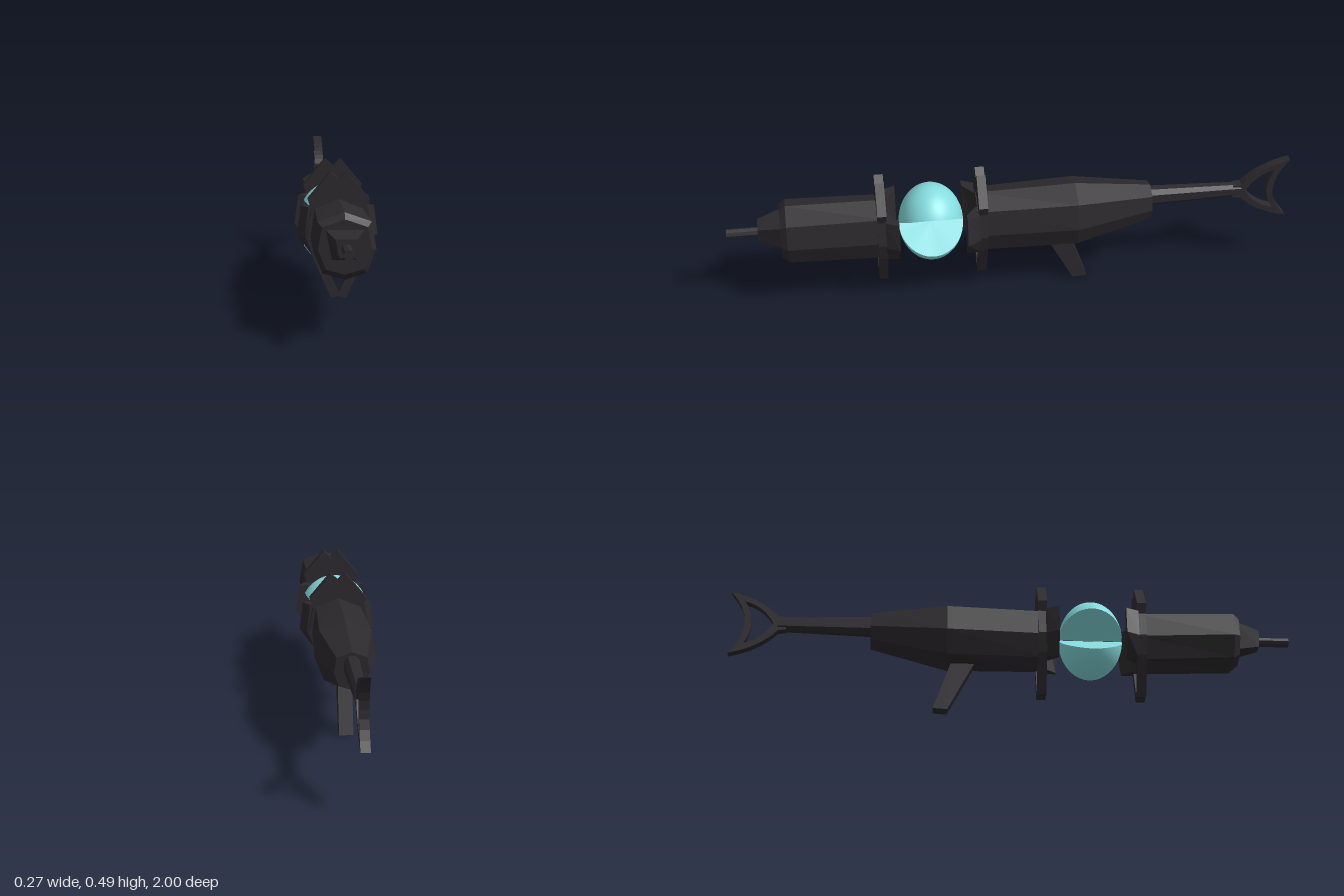
import * as THREE from 'three';

const dark = new THREE.MeshStandardMaterial({ color: 0x2d2a2d, flatShading: true });
const teal = new THREE.MeshStandardMaterial({ color: 0x86dde0 });

function add(parent, name, geometry, material = dark) {
  const mesh = new THREE.Mesh(geometry, material);
  mesh.name = name;
  parent.add(mesh);
  return mesh;
}

// Skin between cross-sections ordered from back to front; each is a counter-clockwise list of [x, y, z]
function loft(sections) {
  const pos = [];
  const tri = (a, b, c) => pos.push(...a, ...b, ...c);
  const n = sections[0].length;
  for (let s = 0; s < sections.length - 1; s++) {
    const A = sections[s], B = sections[s + 1];
    for (let i = 0; i < n; i++) {
      const j = (i + 1) % n;
      tri(A[i], A[j], B[j]);
      tri(A[i], B[j], B[i]);
    }
  }
  const first = sections[0], last = sections[sections.length - 1];
  for (let i = 1; i < n - 1; i++) {
    tri(first[0], first[i + 1], first[i]);
    tri(last[0], last[i], last[i + 1]);
  }
  const g = new THREE.BufferGeometry();
  g.setAttribute('position', new THREE.Float32BufferAttribute(pos, 3));
  g.computeVertexNormals();
  return g;
}

// Unit profiles (x from -1 to 1, y from 0 to 1), fitted to [z, halfWidth, bottom, top]
const hull = [[0, 1], [-0.85, 0.86], [-1, 0.45], [-0.7, 0.1], [0, 0], [0.7, 0.1], [1, 0.45], [0.85, 0.86]];
const octagon = [[-0.5, 1], [-1, 0.75], [-1, 0.25], [-0.5, 0], [0.5, 0], [1, 0.25], [1, 0.75], [0.5, 1]];
const trapezoid = [[-1, 1], [-0.68, 0], [0.68, 0], [1, 1]];
const fit = (profile, rows) => loft(rows.map(([z, w, lo, hi]) =>
  profile.map(([x, y]) => [x * w, lo + y * (hi - lo), z])));

// Side-on shape drawn in (-z, y), given thickness along x
function sideExtrude(shape, width) {
  const g = new THREE.ExtrudeGeometry(shape, { depth: width, bevelEnabled: false, curveSegments: 8 });
  return g.translate(0, 0, -width / 2).rotateY(Math.PI / 2);
}
const polygon = pts => new THREE.Shape(pts.map(p => new THREE.Vector2(...p)));

// Collar plate with notched crest and hanging V loop, plus two flared prongs on its +z side
function makeCollar() {
  const collar = new THREE.Group();
  const half = [[0.027, 0.485], [0.102, 0.395], [0.09, 0.36], [0.105, 0.27], [0.085, 0.2], [0.025, 0.064]];
  const shape = polygon([[0, 0.46], ...half, [0, 0.07], ...half.map(([x, y]) => [-x, y]).reverse()]);
  shape.holes.push(new THREE.Path(
    [[0, 0.165], [-0.052, 0.187], [0, 0.082], [0.052, 0.187]].map(p => new THREE.Vector2(...p))));
  const plate = new THREE.ExtrudeGeometry(shape, { depth: 0.032, bevelEnabled: false });
  add(collar, 'collarPlate', plate.translate(0, 0, -0.016));

  const root = [[0.03, 0.365], [0.03, 0.19], [0.075, 0.19], [0.11, 0.265], [0.1, 0.365]];
  const tip = [[0.09, 0.365], [0.068, 0.19], [0.08, 0.19], [0.135, 0.265], [0.122, 0.365]];
  for (const side of [1, -1]) {
    const place = (pts, z) => {
      const out = pts.map(([x, y]) => [x * side, y, z]);
      return side > 0 ? out : out.reverse();
    };
    add(collar, side > 0 ? 'leftProng' : 'rightProng', loft([place(root, 0.012), place(tip, 0.058)]));
  }
  return collar;
}

// Domed half of the core: its rim rises toward the sides, leaving a wedge-shaped underside
function makeLobe() {
  const around = 48, rings = 14;
  const rim = a => 0.58 * Math.pow(Math.abs(Math.cos(a)), 0.9);
  const point = (a, t) => {
    const e = rim(a) + t * (Math.PI / 2 - rim(a));
    return new THREE.Vector3(0.128 * Math.cos(e) * Math.cos(a), 0.142 * Math.sin(e), -0.114 * Math.cos(e) * Math.sin(a));
  };
  const pos = [], nor = [], index = [];
  for (let r = 0; r <= rings; r++) {
    for (let i = 0; i <= around; i++) {
      const p = point((i / around) * Math.PI * 2, r / rings);
      const n = new THREE.Vector3(p.x / 0.0164, p.y / 0.0202, p.z / 0.013).normalize();
      pos.push(p.x, p.y, p.z);
      nor.push(n.x, n.y, n.z);
    }
  }
  const row = around + 1;
  for (let r = 0; r < rings; r++) {
    for (let i = 0; i < around; i++) {
      const a = r * row + i;
      index.push(a, a + 1, a + row + 1, a, a + row + 1, a + row);
    }
  }
  // Underside fan to the centre
  for (let i = 0; i < around; i++) {
    const p = point((i / around) * Math.PI * 2, 0), q = point(((i + 1) / around) * Math.PI * 2, 0);
    const n = new THREE.Vector3().crossVectors(q, p).normalize();
    const k = pos.length / 3;
    pos.push(0, 0, 0, q.x, q.y, q.z, p.x, p.y, p.z);
    for (let v = 0; v < 3; v++) nor.push(n.x, n.y, n.z);
    index.push(k, k + 1, k + 2);
  }
  const g = new THREE.BufferGeometry();
  g.setAttribute('position', new THREE.Float32BufferAttribute(pos, 3));
  g.setAttribute('normal', new THREE.Float32BufferAttribute(nor, 3));
  g.setIndex(index);
  return g;
}

export function createModel() {
  const model = new THREE.Group();
  model.name = 'model';

  // Front housing, nose and nozzle
  add(model, 'frontHousing', fit(hull, [
    [0.445, 0.092, 0.168, 0.395], [0.79, 0.1, 0.185, 0.4], [0.812, 0.085, 0.205, 0.38]]));
  add(model, 'nose', fit(trapezoid, [[0.8, 0.064, 0.25, 0.35], [0.89, 0.034, 0.272, 0.33]]));
  add(model, 'nozzle', new THREE.CylinderGeometry(0.017, 0.017, 0.13, 8).rotateX(Math.PI / 2).translate(0, 0.3, 0.935));

  // Rear housing and stock
  add(model, 'rearHousing', fit(hull, [
    [-0.5, 0.06, 0.24, 0.37], [-0.23, 0.106, 0.168, 0.402], [0.125, 0.092, 0.168, 0.395]]));
  add(model, 'stockPole', fit(octagon, [[-0.83, 0.019, 0.298, 0.345], [-0.48, 0.027, 0.288, 0.357]]));

  // Open crescent butt
  const butt = new THREE.Shape();
  butt.moveTo(0.8, 0.297);
  butt.lineTo(0.83, 0.292);
  butt.quadraticCurveTo(0.89, 0.225, 1, 0.2);
  butt.quadraticCurveTo(0.893, 0.32, 1, 0.44);
  butt.quadraticCurveTo(0.89, 0.415, 0.83, 0.348);
  butt.lineTo(0.8, 0.345);
  const gap = new THREE.Path();
  gap.moveTo(0.846, 0.32);
  gap.quadraticCurveTo(0.88, 0.385, 0.948, 0.403);
  gap.quadraticCurveTo(0.9, 0.32, 0.948, 0.24);
  gap.quadraticCurveTo(0.88, 0.258, 0.846, 0.32);
  butt.holes.push(gap);
  add(model, 'butt', sideExtrude(butt, 0.032));

  // Slanted grip
  add(model, 'grip', sideExtrude(polygon([[0.225, 0], [0.275, 0.003], [0.21, 0.19], [0.125, 0.19]]), 0.05));

  // Facing collars on both sides of the core
  const rearCollar = makeCollar();
  rearCollar.name = 'rearCollar';
  rearCollar.position.z = 0.107;
  const frontCollar = makeCollar();
  frontCollar.name = 'frontCollar';
  frontCollar.position.z = 0.46;
  frontCollar.rotation.y = Math.PI;
  model.add(rearCollar, frontCollar);

  // Split core
  const lobe = makeLobe();
  add(model, 'upperCore', lobe, teal).position.set(0, 0.288, 0.284);
  const lower = add(model, 'lowerCore', lobe, teal);
  lower.position.set(0, 0.287, 0.284);
  lower.rotation.z = Math.PI;

  return model;
}
